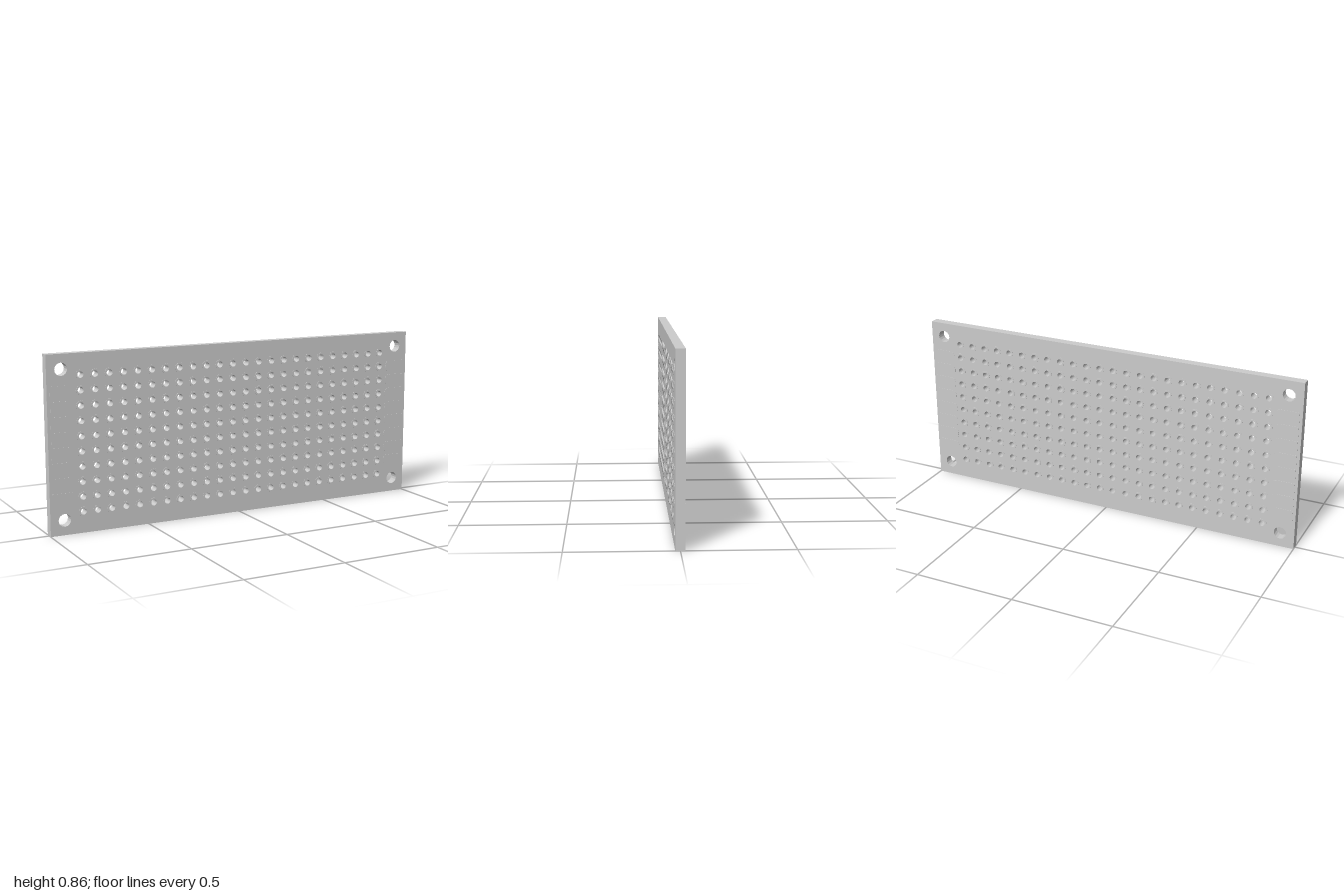
import * as THREE from 'three';

const W = 2, H = 0.86, T = 0.044;      // board size
const PITCH = 0.0726, COLS = 24, ROWS = 10;
const HOLE_R = 0.015, RING_R = 0.024, MOUNT_R = 0.031;
const COPPER = 0.0015;                 // raised pad thickness

const circle = (Type, x, y, r) => new Type().absarc(x, y, r, 0, Math.PI * 2, false);

const colX = (i) => (i - (COLS - 1) / 2) * PITCH;
const rowY = (j) => H / 2 + (j - (ROWS - 1) / 2) * PITCH;

function extrude(shapes, depth, curveSegments) {
  return new THREE.ExtrudeGeometry(shapes, { depth, bevelEnabled: false, curveSegments });
}

// Edge contact: square at the outer end, rounded at the inner end
function contactShape(side, y) {
  const h = 0.027, outer = 0.985, inner = 0.872, r = 0.026;
  const s = new THREE.Shape();
  s.moveTo(side * outer, y - h);
  s.lineTo(side * (inner + r), y - h);
  s.quadraticCurveTo(side * inner, y - h, side * inner, y);
  s.quadraticCurveTo(side * inner, y + h, side * (inner + r), y + h);
  s.lineTo(side * outer, y + h);
  s.closePath();
  return s;
}

export function createModel() {
  const model = new THREE.Group();
  model.name = 'prototypingBoard';
  const material = new THREE.MeshStandardMaterial({ color: 0xcccccc });

  const add = (name, geometry, z) => {
    const mesh = new THREE.Mesh(geometry, material);
    mesh.name = name;
    mesh.position.z = z;
    model.add(mesh);
  };

  const board = new THREE.Shape();
  board.moveTo(-W / 2, 0).lineTo(W / 2, 0).lineTo(W / 2, H).lineTo(-W / 2, H).closePath();

  // Mounting holes in the corners
  for (const sx of [-1, 1])
    for (const sy of [-1, 1])
      board.holes.push(circle(THREE.Path, sx * 0.929, H / 2 + sy * 0.358, MOUNT_R));

  // Grid of pin holes, each with a raised ring around it
  const rings = [];
  for (let i = 0; i < COLS; i++) {
    for (let j = 0; j < ROWS; j++) {
      board.holes.push(circle(THREE.Path, colX(i), rowY(j), HOLE_R));
      const ring = circle(THREE.Shape, colX(i), rowY(j), RING_R);
      ring.holes.push(circle(THREE.Path, colX(i), rowY(j), HOLE_R));
      rings.push(ring);
    }
  }

  // Contacts along both short edges, between the mounting holes
  const contacts = [];
  for (const side of [-1, 1])
    for (let j = 1; j < ROWS - 1; j++) contacts.push(contactShape(side, rowY(j)));

  add('board', extrude(board, T, 8), -T / 2);

  // Copper on both faces
  const ringGeometry = extrude(rings, COPPER, 8);
  const contactGeometry = extrude(contacts, COPPER, 6);
  for (const [face, z] of [['front', T / 2], ['back', -T / 2 - COPPER]]) {
    add(face + 'PinRings', ringGeometry, z);
    add(face + 'EdgeContacts', contactGeometry, z);
  }
  return model;
}
